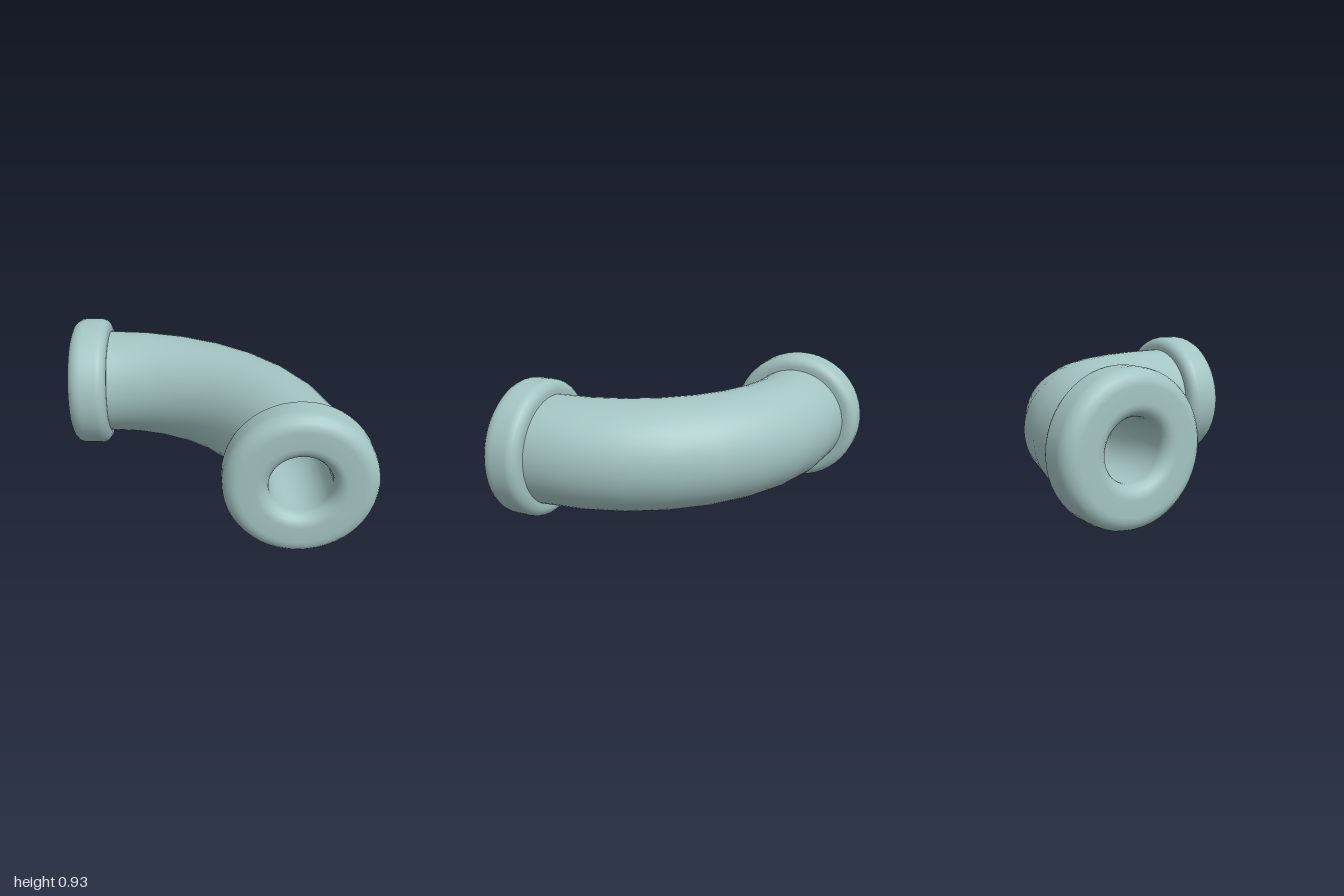
import * as THREE from 'three';

const PIPE_R = 0.37, BORE_R = 0.19, FLANGE_R = 0.465;
const BEND_R = 1.265, DEPTH = 0.27, MID_Y = 0.465, BACK = 0.73;

// Quarter arc of profile points, including both ends
function arc(cx, cy, r, from, to, steps = 5) {
  return Array.from({ length: steps + 1 }, (_, i) => {
    const a = from + ((to - from) * i) / steps;
    return new THREE.Vector2(cx + r * Math.cos(a), cy + r * Math.sin(a));
  });
}

// Quarter bend swept from the front opening to the left-hand opening
function bend(radius) {
  const geo = new THREE.TorusGeometry(BEND_R, radius, 48, 8, Math.PI / 2);
  geo.rotateX(-Math.PI / 2);
  geo.translate(-BACK, MID_Y, BACK);
  return geo;
}

// Rounded collar with a flared mouth, facing +z
function collarGeometry() {
  const H = Math.PI / 2, back = 0.07, front = 0.095, mouth = 0.08;
  const profile = [
    new THREE.Vector2(PIPE_R - 0.02, 0),
    ...arc(FLANGE_R - back, back, back, -H, 0),
    ...arc(FLANGE_R - front, DEPTH - front, front, 0, H),
    ...arc(BORE_R + mouth, DEPTH - mouth, mouth, H, 2 * H),
    new THREE.Vector2(BORE_R, 0),
  ];
  return new THREE.LatheGeometry(profile, 48).rotateX(H);
}

export function createModel() {
  const group = new THREE.Group();
  group.name = 'pipeElbow';
  const color = 0xa3c4c2;
  const outside = new THREE.MeshStandardMaterial({ color });
  const inside = new THREE.MeshStandardMaterial({ color, side: THREE.BackSide });

  const add = (name, geo, mat) => {
    const mesh = new THREE.Mesh(geo, mat);
    mesh.name = name;
    group.add(mesh);
    return mesh;
  };

  // Curved pipe, with its inner wall
  add('pipeBend', bend(PIPE_R), outside);
  add('pipeBore', bend(BORE_R), inside);

  // One collar at each opening
  const centre = BEND_R - BACK;
  const collar = collarGeometry();
  add('frontCollar', collar, outside).position.set(centre, MID_Y, BACK);
  const side = add('sideCollar', collar, outside);
  side.position.set(-BACK, MID_Y, -centre);
  side.rotation.y = -Math.PI / 2;

  return group;
}
